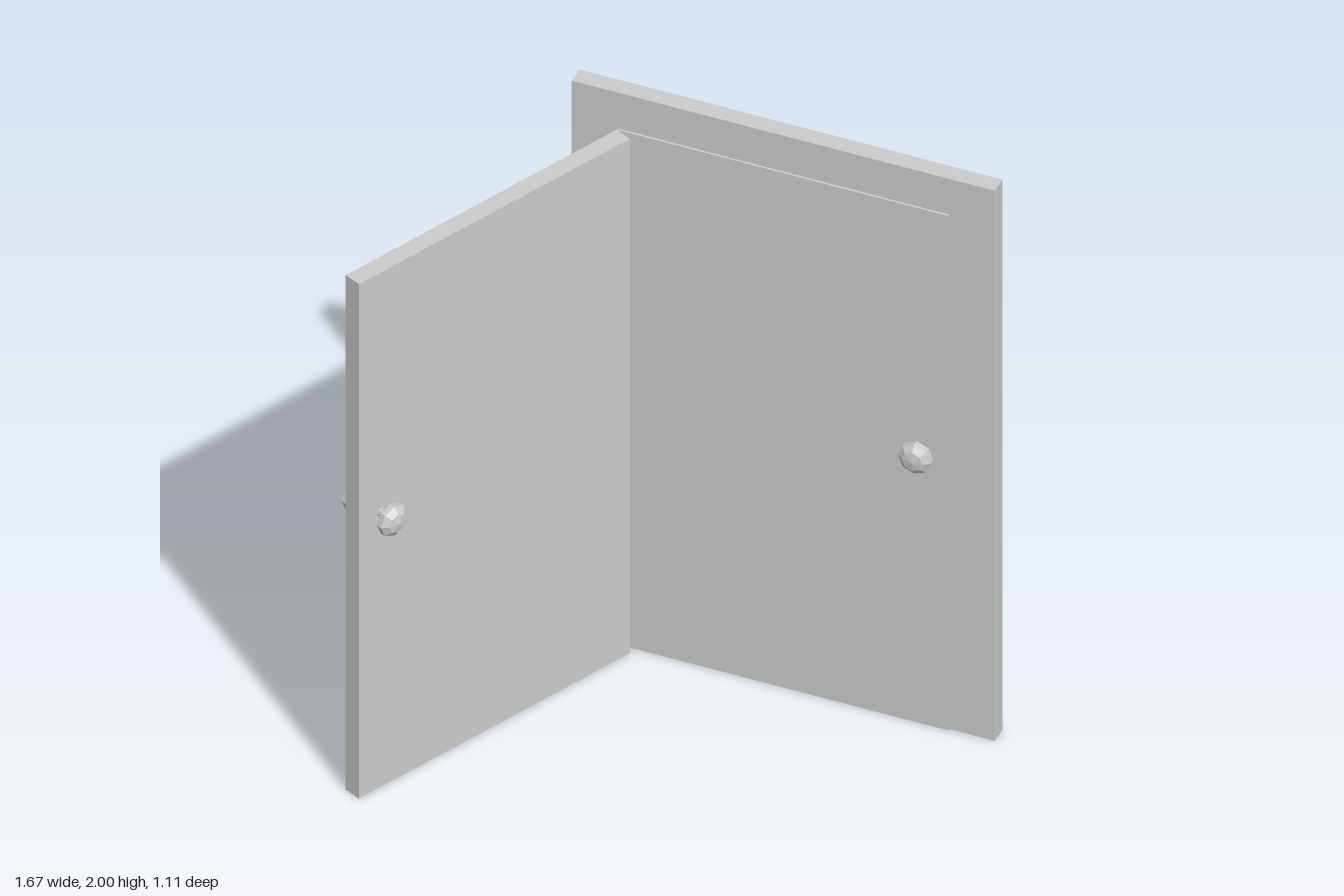
import * as THREE from 'three';

const material = new THREE.MeshStandardMaterial({ color: 0xcccccc, flatShading: true });
const THICK = 0.058, DOOR_W = 1.045, DOOR_H = 1.87;
const HINGE_X = -0.35, HINGE_Z = -0.419;

function addMesh(parent, name, geometry, x = 0, y = 0, z = 0) {
  const mesh = new THREE.Mesh(geometry, material);
  mesh.name = name;
  mesh.position.set(x, y, z);
  parent.add(mesh);
  return mesh;
}

// A door hinged on its left edge, with a knob on each face
function makeDoor(name, angle) {
  const door = new THREE.Group();
  door.name = name;
  door.position.set(HINGE_X, 0, HINGE_Z);
  door.rotation.y = angle;
  addMesh(door, 'doorPanel', new THREE.BoxGeometry(DOOR_W, DOOR_H, THICK), DOOR_W / 2, DOOR_H / 2, -THICK / 2);

  const knobs = new THREE.Group();
  knobs.name = 'knobs';
  knobs.position.set(0.96, 1, -0.031);
  door.add(knobs);
  const spindle = new THREE.CylinderGeometry(0.014, 0.014, 0.15, 8);
  addMesh(knobs, 'knobSpindle', spindle.rotateX(Math.PI / 2));
  // Flattened, eight-sided knobs
  for (const side of [1, -1]) {
    const knob = new THREE.SphereGeometry(0.055, 8, 5);
    knob.rotateX(Math.PI / 2).scale(1, 1, 0.56);
    addMesh(knobs, side > 0 ? 'frontKnob' : 'backKnob', knob, 0, 0, side * 0.077);
  }
  return door;
}

export function createModel() {
  const model = new THREE.Group();
  model.name = 'doorway';

  // Wall slab with a doorway cut up from the floor
  const left = -0.494, right = 0.836, doorRight = HINGE_X + DOOR_W;
  const outline = new THREE.Shape([
    [left, 0], [HINGE_X, 0], [HINGE_X, DOOR_H], [doorRight, DOOR_H],
    [doorRight, 0], [right, 0], [right, 2], [left, 2],
  ].map(([x, y]) => new THREE.Vector2(x, y)));
  const wall = new THREE.ExtrudeGeometry(outline, { depth: THICK, bevelEnabled: false });
  addMesh(model, 'wallFrame', wall, 0, 0, -0.484);

  // The same door shown shut and swung open
  model.add(makeDoor('closedDoor', 0));
  model.add(makeDoor('openDoor', THREE.MathUtils.degToRad(-115.3)));
  return model;
}
